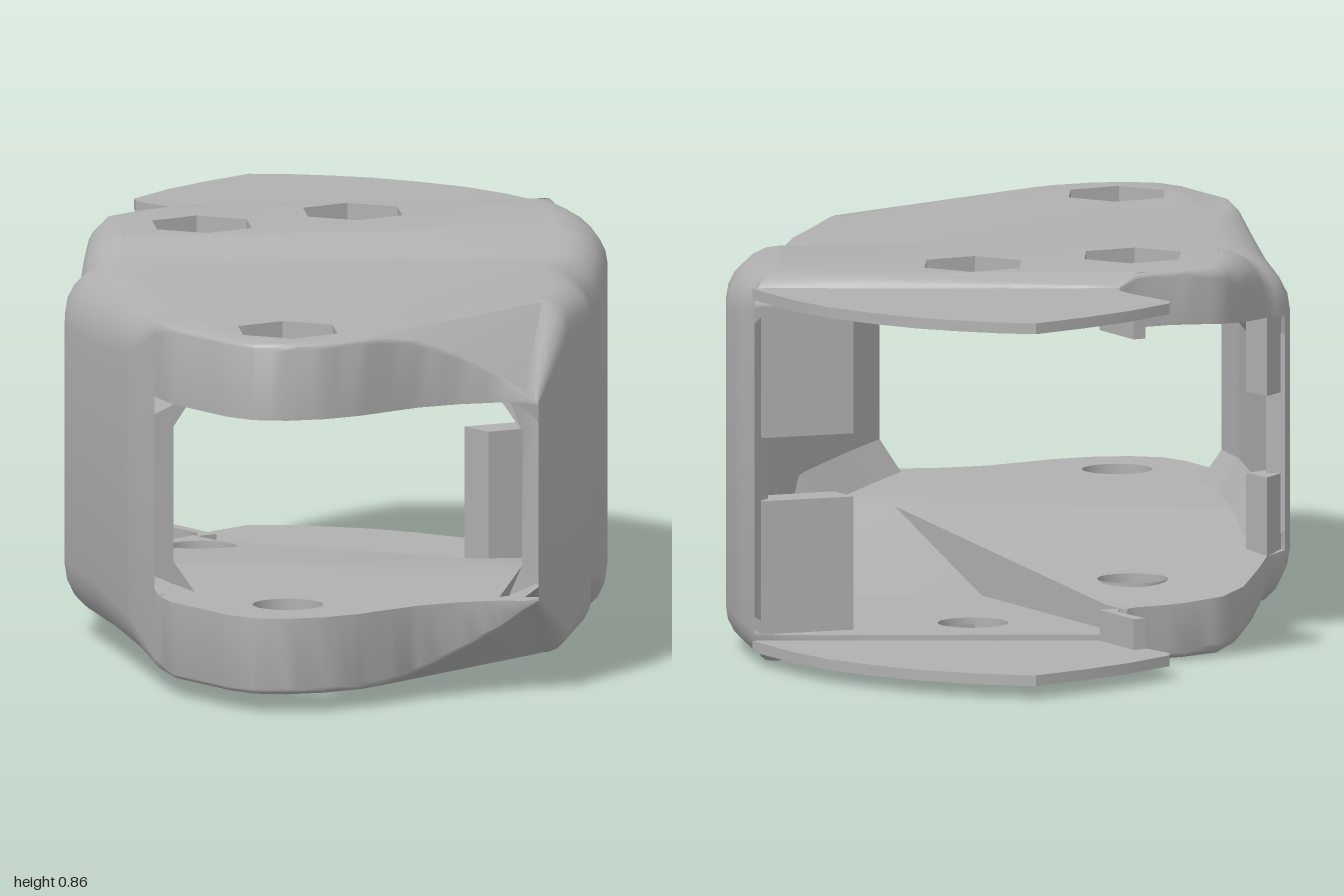
import * as THREE from 'three';
import { toCreasedNormals } from 'three/addons/utils/BufferGeometryUtils.js';

const MID = 0.43;     // the part is mirrored above and below this height
const STEP_Z = -0.08; // the plate is thinner behind this line
const THIN_S = 0, THICK_S = -0.5, LUG_S = 0.35; // where the inner faces start and stop sloping
const clamp01 = (v) => Math.min(1, Math.max(0, v));
const along = (x, z) => 0.866 * x + 0.5 * z;                          // distance down the body
const tip = (x, z) => 0.96 * (x - 0.75) - 0.28 * (z + 0.1) + 0.03;    // distance into the drooping tip
const rear = (x, z) => 0.8875 * (x + 0.62) + 0.4625 * (z + 0.09) - 0.05; // negative on the slope to the flange
const topY = (x, z) => 0.86 - 0.04 * clamp01((along(x, z) + 0.15) / 0.17)
  - 0.85 * Math.max(0, tip(x, z)) - 0.025 * clamp01(-rear(x, z) / 0.05);
const thinY = (x, z) => 0.795 - 0.145 * clamp01((along(x, z) - THIN_S) / (LUG_S - THIN_S));
const thickY = (x, z) => 0.74 - 0.09 * clamp01((along(x, z) - THICK_S) / (LUG_S - THICK_S));
const innerY = (x, z) => (z < STEP_Z ? thinY : thickY)(x, z);

// Body outline: x, z, edge radius, and 1 where a side wall starts toward the next point
const OUTLINE = [
  [-0.25, -0.8, 0.07, 1], [-0.15, -0.79, 0.09, 1], [-0.03, -0.755, 0.1, 1], [0.1, -0.685, 0.1, 1],
  [0.2, -0.61, 0.1, 1], [0.3, -0.52, 0.1, 1], [0.39, -0.43, 0.1, 1], [0.48, -0.37, 0.09, 1],
  [0.58, -0.3, 0.08, 1], [0.72, -0.16, 0.07, 1], [0.85, -0.025, 0.05, 1], [1, 0.14, 0.01, 0],
  [0.945, 0.21, 0.015, 0], [0.915, 0.29, 0.015, 0], [0.9, 0.39, 0.015, 0], [0.907, 0.47, 0.015, 0],
  [0.917, 0.56, 0.015, 0], [0.91, 0.65, 0.015, 0], [0.88, 0.73, 0.015, 0], [0.83, 0.785, 0.015, 0],
  [0.76, 0.805, 0.015, 0], [0.55, 0.805, 0.015, 0], [0.44, 0.775, 0.03, 1], [0.3, 0.745, 0.1, 1],
  [0, 0.63, 0.13, 1], [-0.24, 0.535, 0.13, 1], [-0.3, 0.49, 0.11, 0], [-0.33, 0.43, 0.1, 0],
  [-0.42, 0.36, 0.09, 0], [-0.54, 0.26, 0.06, 0], [-0.595, 0.18, 0.03, 0], [-0.605, 0.08, 0.015, 0],
  [-0.605, -0.04, 0.01, 0], [-0.62, -0.09, 0.006, 0],
];
const HOLES = [[-0.31, -0.29], [-0.36, 0.08], [0.72, 0.615]];
const HEX_R = 0.12, BORE_R = 0.078, SOCKET = 0.05;

const FLANGE = [
  [-0.25, -0.77], [-0.6, -0.09], [-0.64, -0.105], [-0.7, -0.105], [-0.84, -0.083], [-0.87, -0.1],
  [-0.93, -0.23], [-0.97, -0.36], [-1, -0.5], [-0.95, -0.565], [-0.88, -0.63], [-0.8, -0.69],
  [-0.7, -0.74], [-0.58, -0.785], [-0.45, -0.805], [-0.25, -0.805],
];
const PAD = [[-0.6, -0.13], [-0.6, -0.08], [-0.64, -0.105], [-0.7, -0.105], [-0.76, -0.1], [-0.76, -0.13]];
const REAR_POST = [[-0.25, -0.78], [-0.17, -0.76], [-0.19, -0.57], [-0.28, -0.57]];
const FRONT_POST = [[-0.33, 0.43], [-0.25, 0.42], [-0.22, 0.5], [-0.29, 0.485]];

// Resample the outline and give each point its inward direction
function sampleOutline() {
  const pts = [];
  OUTLINE.forEach((a, i) => {
    const b = OUTLINE[(i + 1) % OUTLINE.length];
    const n = Math.ceil(Math.hypot(b[0] - a[0], b[1] - a[1]) / 0.04);
    for (let k = 0; k < n; k++) {
      const m = (j) => a[j] + (b[j] - a[j]) * k / n;
      pts.push({ x: m(0), z: m(1), r: m(2), wall: a[3] });
    }
  });
  pts.forEach((p, i) => {
    const q = pts[(i + 1) % pts.length], o = pts[(i + pts.length - 1) % pts.length];
    const dx = q.x - o.x, dz = q.z - o.z, l = Math.hypot(dx, dz);
    p.nx = -dz / l;
    p.nz = dx / l;
  });
  return pts;
}
const inset = (p, d) => [p.x + p.nx * d, p.z + p.nz * d];

// Keep the part of a polygon where every given function is >= 0
function clip(poly, ...tests) {
  return tests.reduce((src, f) => {
    const out = [];
    src.forEach((a, i) => {
      const b = src[(i + 1) % src.length], fa = f(...a), fb = f(...b);
      if (fa >= 0) out.push(a);
      if (fa >= 0 !== fb >= 0) {
        const t = fa / (fa - fb);
        out.push([a[0] + (b[0] - a[0]) * t, a[1] + (b[1] - a[1]) * t]);
      }
    });
    return out;
  }, poly);
}

const ring = (x, z, r, n, turn = 0) => Array.from({ length: n }, (_, i) => {
  const a = turn + i / n * Math.PI * 2;
  return [x + r * Math.cos(a), z + r * Math.sin(a)];
});

// Fill a polygon (with holes) at height y(x, z)
function fill(tris, poly, holes, y, up) {
  if (poly.length < 3) return;
  const v2 = (l) => l.map((p) => new THREE.Vector2(...p));
  const shape = new THREE.Shape(v2(poly));
  shape.holes = holes.map((h) => new THREE.Path(v2(h)));
  const g = new THREE.ShapeGeometry(shape), pos = g.attributes.position, idx = g.index.array;
  const at = (i) => [pos.getX(i), y(pos.getX(i), pos.getY(i)), pos.getY(i)];
  for (let i = 0; i < idx.length; i += 3) {
    const t = [at(idx[i]), at(idx[i + 1]), at(idx[i + 2])];
    tris.push(up ? t.reverse() : t);
  }
}
const quad = (tris, a, b, c, d) => tris.push([a, b, c], [a, c, d]);

// Vertical band around a closed polygon
function band(tris, poly, y0, y1, outward) {
  poly.forEach(([x, z], i) => {
    const [u, w] = poly[(i + 1) % poly.length];
    const q = [[x, y1, z], [u, y1, w], [u, y0, w], [x, y0, z]];
    quad(tris, ...(outward ? q : q.reverse()));
  });
}
function prism(outline, y0, y1) {
  const tris = [], flip = THREE.ShapeUtils.area(outline.map(([x, y]) => ({ x, y }))) < 0;
  const poly = flip ? [...outline].reverse() : outline;
  fill(tris, poly, [], () => y1, true);
  fill(tris, poly, [], () => y0, false);
  band(tris, poly, y0, y1, true);
  return tris;
}

// Plate with rolled edges; the edges run on into the outer wall faces
function shellTris(pts) {
  const tris = [], s = along;
  const face = pts.map((p) => inset(p, p.r)), under = pts.map((p) => inset(p, p.wall ? 0.04 : 0));
  const hex = HOLES.map(([x, z]) => ring(x, z, HEX_R, 6, Math.PI / 2));
  const bore = HOLES.map(([x, z]) => ring(x, z, BORE_R, 20));
  const not = (f) => (x, z) => -f(x, z);
  const past = (d) => (x, z) => s(x, z) - d;
  // Outside: flange slope, main deck, ramp, lug and drooping tip
  fill(tris, clip(face, not(rear)), [], topY, true);
  fill(tris, clip(face, rear, not(past(-0.15))), hex.slice(0, 2), topY, true);
  fill(tris, clip(face, past(-0.15), not(past(0.02))), [], topY, true);
  fill(tris, clip(face, past(0.02), not(tip)), [hex[2]], topY, true);
  fill(tris, clip(face, past(0.02), tip), [], topY, true);
  // Inside: thin rear and thick front areas, with a step between them
  const front = (x, z) => z - STEP_Z;
  const lug = clip(under, front, past(LUG_S)), slope = clip(under, front, past(THICK_S), not(past(LUG_S)));
  fill(tris, clip(under, not(front), not(past(THIN_S))), [bore[0]], thinY, false);
  fill(tris, clip(under, not(front), past(THIN_S), not(past(LUG_S))), [], thinY, false);
  fill(tris, clip(under, not(front), past(LUG_S)), [], thinY, false);
  fill(tris, clip(under, front, not(past(THICK_S))), [], thickY, false);
  fill(tris, slope, [bore[1]], thickY, false);
  fill(tris, lug, [bore[2]], thickY, false);
  const at = (x, y) => [x, y(x, STEP_Z), STEP_Z];
  for (const [a, b] of [[-0.615, -0.531], [-0.531, 0.046], [0.046, 0.45]]) {
    quad(tris, at(b, thinY), at(a, thinY), at(a, thickY), at(b, thickY));
  }
  const STEPS = 5;
  const profile = (p, wall) => {
    const col = [], y = topY(...inset(p, p.r));
    for (let k = 0; k <= STEPS; k++) {
      const a = k / STEPS * Math.PI / 2, [x, z] = inset(p, p.r * (1 - Math.sin(a)));
      col.push([x, y - p.r * (1 - Math.cos(a)), z]);
    }
    col.push([p.x, wall ? MID : innerY(p.x, p.z), p.z]);
    return col;
  };
  pts.forEach((p, i) => {
    const a = profile(p, p.wall), b = profile(pts[(i + 1) % pts.length], p.wall);
    for (let k = 0; k <= STEPS; k++) quad(tris, a[k], b[k], b[k + 1], a[k + 1]);
  });
  return tris;
}

// Inner wall faces with a fillet at the plate, and the wall ends
function wallTris(pts) {
  const tris = [], T = 0.045;
  const column = (p) => {
    const [x, z] = inset(p, T), [fx, fz] = inset(p, T + 0.05), y = innerY(x, z);
    return [[fx, y, fz], [x, y - 0.07, z], [x, MID, z]];
  };
  pts.forEach((p, i) => {
    const q = pts[(i + 1) % pts.length], prev = pts[(i + pts.length - 1) % pts.length];
    if (p.wall) {
      const a = column(p), b = column(q);
      for (let k = 0; k < 2; k++) quad(tris, b[k], a[k], a[k + 1], b[k + 1]);
    }
    if (p.wall !== prev.wall) {
      const [f, n, m] = column(p);
      const end = [[p.x, f[1] - 0.04, p.z], f, n, m, [p.x, MID, p.z]];
      for (let k = 1; k < 4; k++) {
        tris.push(p.wall ? [end[0], end[k + 1], end[k]] : [end[0], end[k], end[k + 1]]);
      }
    }
  });
  return tris;
}

// Hexagonal recess with a round bore below it
function socketTris([x, z]) {
  const tris = [], y = topY(x, z), hex = ring(x, z, HEX_R, 6, Math.PI / 2), bore = ring(x, z, BORE_R, 20);
  band(tris, hex, y - SOCKET, y, false);
  fill(tris, hex, [bore], () => y - SOCKET, true);
  band(tris, bore, innerY(x, z), y - SOCKET, false);
  return tris;
}

export function createModel() {
  const model = new THREE.Group();
  model.name = 'jointBracket';
  const grey = new THREE.MeshStandardMaterial({ color: 0xb0b0b0, side: THREE.DoubleSide });
  grey.name = 'plain grey';
  const pts = sampleOutline();
  const parts = {
    plateShell: shellTris(pts), innerWalls: wallTris(pts), rearFlange: prism(FLANGE, 0.808, 0.832),
    flangePad: prism(PAD, 0.74, 0.81), rearWallPost: prism(REAR_POST, 0.5, 0.796),
    frontWallPost: prism(FRONT_POST, 0.52, 0.72),
  };
  HOLES.forEach((h, i) => { parts['boltSocket' + (i + 1)] = socketTris(h); });

  // Upper half, then the same parts mirrored below
  for (const half of ['upper', 'lower']) {
    const group = new THREE.Group();
    group.name = half + 'Half';
    for (const [name, tris] of Object.entries(parts)) {
      const list = half === 'upper' ? tris
        : tris.map((t) => t.map(([x, y, z]) => [x, 2 * MID - y, z]).reverse());
      const g = new THREE.BufferGeometry();
      g.setAttribute('position', new THREE.Float32BufferAttribute(list.flat(2), 3));
      const mesh = new THREE.Mesh(toCreasedNormals(g, 0.6), grey);
      mesh.name = name;
      group.add(mesh);
    }
    model.add(group);
  }
  return model;
}
